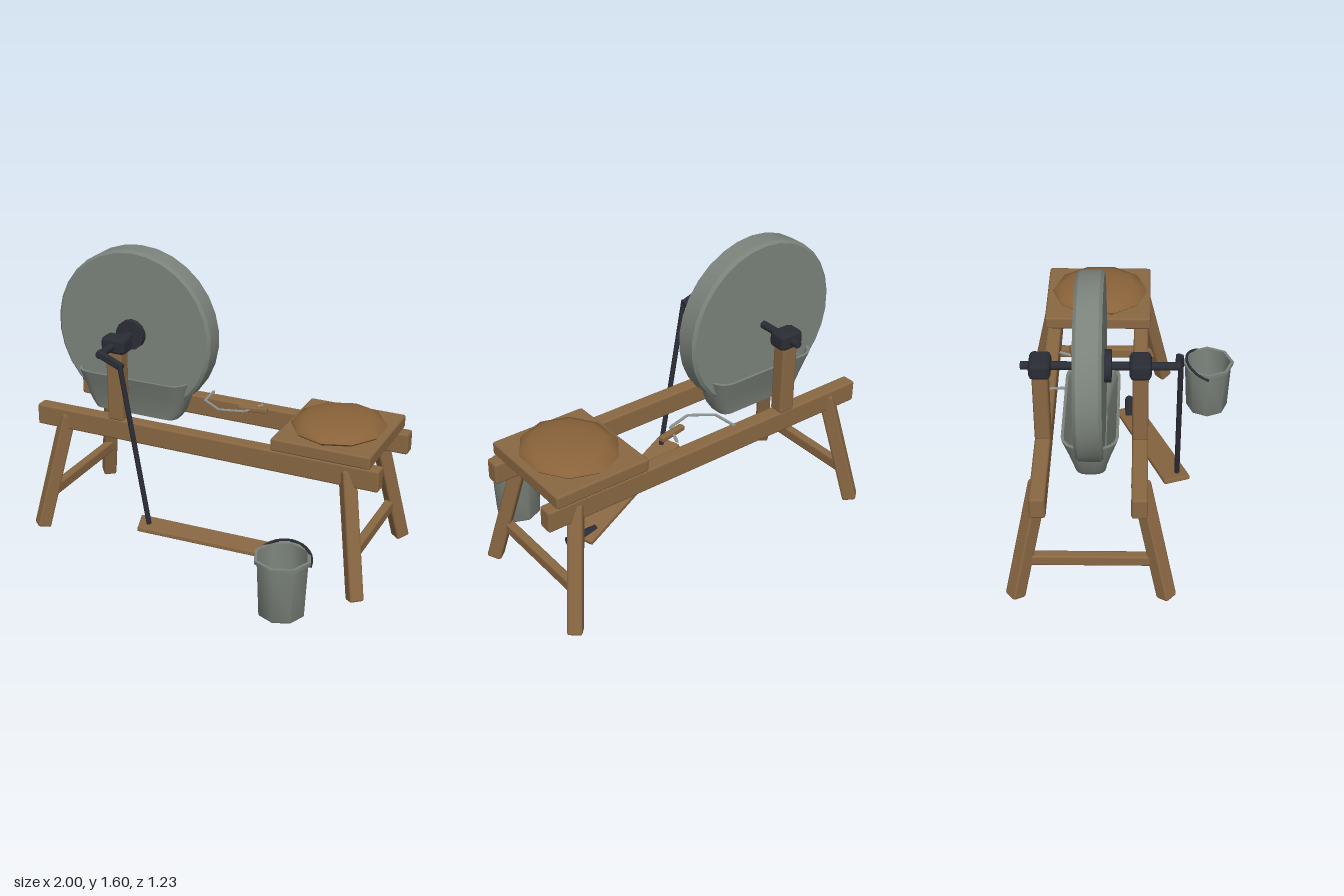
import * as THREE from 'three';
import { toCreasedNormals } from 'three/addons/utils/BufferGeometryUtils.js';
import { RoundedBoxGeometry } from 'three/addons/geometries/RoundedBoxGeometry.js';

const mat = (name, color, side = THREE.FrontSide) => {
  const m = new THREE.MeshStandardMaterial({ color, side });
  m.name = name;
  return m;
};
const V = (x, y, z) => new THREE.Vector3(x, y, z);

export function createModel() {
  const wood = mat('wood', 0x8a6843);
  const leather = mat('leather', 0x8a633a);
  const stone = mat('stone grey', 0x7b827b, THREE.DoubleSide);
  const iron = mat('dark iron', 0x2b2d36);
  const steel = mat('steel wire', 0x8c9391);
  const model = new THREE.Group();

  const add = (name, geometry, material, x = 0, y = 0, z = 0) => {
    const mesh = new THREE.Mesh(geometry, material);
    mesh.name = name;
    mesh.position.set(x, y, z);
    model.add(mesh);
    return mesh;
  };
  // Chamfered block
  const block = (name, w, h, d, x, y, z, material = wood, bevel = 0.012) =>
    add(name, new RoundedBoxGeometry(w, h, d, 1, bevel), material, x, y, z);
  // Chamfered beam between two points; w is its horizontal width, d its other thickness
  const beam = (name, a, b, w, d, material = wood, bevel = 0.012) => {
    const along = b.clone().sub(a);
    const mesh = block(name, w, along.length(), d, 0, 0, 0, material, bevel);
    const yAxis = along.normalize();
    const xAxis = V(0, 1, 0).cross(yAxis).normalize();
    const zAxis = xAxis.clone().cross(yAxis);
    mesh.quaternion.setFromRotationMatrix(new THREE.Matrix4().makeBasis(xAxis, yAxis, zAxis));
    mesh.position.copy(a).add(b).multiplyScalar(0.5);
    return mesh;
  };
  // Round bar between two points
  const bar = (name, a, b, r, material = iron, sides = 10) => {
    const along = b.clone().sub(a);
    const mesh = add(name, new THREE.CylinderGeometry(r, r, along.length(), sides), material);
    mesh.quaternion.setFromUnitVectors(V(0, 1, 0), along.normalize());
    mesh.position.copy(a).add(b).multiplyScalar(0.5);
    return mesh;
  };
  const lathe = (points, sides, crease) => toCreasedNormals(
    new THREE.LatheGeometry(points.map(p => new THREE.Vector2(...p)), sides), crease);

  const midZ = -0.19, wheelX = -0.502, axleY = 1.138;

  // Bench frame: two rails, each with an axle post, a bearing and two splayed legs
  for (const s of [1, -1]) {
    const z = midZ + s * 0.245;
    block('rail', 2, 0.12, 0.08, 0, 0.652, z);
    block('axlePost', 0.095, 0.42, 0.08, wheelX, 0.915, z);
    block('bearing', 0.14, 0.09, 0.108, wheelX, axleY, z, iron, 0.022);
    for (const e of [1, -1]) {
      beam('leg', V(e * 0.942, 0.008, midZ + s * 0.385), V(e * 0.822, 0.675, midZ + s * 0.248), 0.078, 0.078);
    }
  }
  for (const e of [1, -1]) block('legStretcher', 0.05, 0.065, 0.68, e * 0.89, 0.222, midZ);

  // Seat board and domed cushion
  block('seatBoard', 0.54, 0.072, 0.595, 0.685, 0.752, midZ + 0.002);
  const cushion = lathe([[0, 0], [0.93, 0], [1, 0.016], [0.96, 0.032], [0.76, 0.054],
    [0.42, 0.068], [0, 0.071]], 10, 1.2);
  cushion.scale(0.25, 1, 0.272);
  add('cushion', cushion, leather, 0.685, 0.786, midZ + 0.008);

  // Grinding wheel with chamfered edges
  const R = 0.467, c = 0.016, h = 0.068;
  const wheel = lathe([[0, -h], [R - c, -h], [R, -h + c], [R, h - c], [R - c, h], [0, h]], 30, 0.5);
  wheel.rotateX(Math.PI / 2);
  add('grindingWheel', wheel, stone, wheelX, axleY, midZ + 0.002);

  // Open water trough, lofted from rounded rectangles: [y, half length, half width, corner]
  const rings = [[0.664, 0.01, 0.005, 0.004], [0.664, 0.255, 0.076, 0.05], [0.71, 0.287, 0.082, 0.06],
    [0.8, 0.312, 0.108, 0.075], [0.895, 0.338, 0.14, 0.09], [0.895, 0.322, 0.126, 0.08],
    [0.8, 0.298, 0.1, 0.07], [0.69, 0.25, 0.072, 0.05], [0.675, 0.01, 0.005, 0.004]];
  const pos = [], idx = [], per = 20;
  for (const [y, hx, hz, r] of rings) {
    for (let q = 0; q < 4; q++) for (let k = 0; k < 5; k++) {
      const a = (q + k / 4) * Math.PI / 2;
      const sx = q === 0 || q === 3 ? 1 : -1, sz = q < 2 ? 1 : -1;
      pos.push(sx * (hx - r) + r * Math.cos(a), y, sz * (hz - r) + r * Math.sin(a));
    }
  }
  for (let i = 0; i < rings.length - 1; i++) for (let j = 0; j < per; j++) {
    const a = i * per + j, b = i * per + (j + 1) % per;
    idx.push(a, a + per, b, b, a + per, b + per);
  }
  const trough = new THREE.BufferGeometry();
  trough.setAttribute('position', new THREE.Float32BufferAttribute(pos, 3));
  trough.setIndex(idx);
  add('waterTrough', toCreasedNormals(trough, 0.6), stone, wheelX, 0, midZ + 0.003);

  // Axle, hub flange, crank and drive rod
  bar('axle', V(wheelX, axleY, -0.53), V(wheelX, axleY, 0.245), 0.021);
  bar('hubFlange', V(wheelX, axleY, -0.125), V(wheelX, axleY, -0.086), 0.083, iron, 14);
  beam('crankArm', V(-0.515, 1.148, 0.237), V(-0.36, 1.09, 0.245), 0.03, 0.04, iron, 0.008);
  bar('driveRod', V(-0.372, 1.105, 0.256), V(-0.218, 0.215, 0.256), 0.014, iron, 8);

  // Treadle plank sloping down to its pivot pin
  beam('treadle', V(-0.277, 0.207, 0.257), V(0.535, 0.052, -0.022), 0.146, 0.028, wood, 0.007);
  bar('treadlePivot', V(0.43, 0.066, -0.012), V(0.615, 0.066, -0.012), 0.026);

  // Bucket with rim and bail handle
  const bx = 0.64, bz = 0.456;
  add('bucket', lathe([[0, 0.01], [0.118, 0.01], [0.124, 0.018], [0.138, 0.312], [0.152, 0.316],
    [0.152, 0.334], [0.134, 0.334], [0.112, 0.03], [0, 0.03]], 8, 0.9), stone, bx, 0, bz);
  const bail = [];
  for (let i = 0; i <= 8; i++) {
    const a = i / 8 * Math.PI;
    bail.push(V(bx + 0.147 * Math.cos(a), 0.3 + 0.054 * Math.sin(a), bz - 0.13 * Math.sin(a)));
  }
  add('bucketHandle', new THREE.TubeGeometry(new THREE.CatmullRomCurve3(bail), 16, 0.008, 6), iron);

  // Bent wire tool rest with a wooden grip
  const wire = [[-0.163, -0.448], [-0.15, -0.305], [-0.03, -0.222], [0.11, -0.258], [0.167, -0.388]];
  for (let i = 0; i < wire.length - 1; i++) {
    const [a, b] = [wire[i], wire[i + 1]];
    beam('toolRestWire', V(a[0], 0.735, a[1]), V(b[0], 0.735, b[1]), 0.016, 0.008, steel, 0.002);
  }
  beam('toolGrip', V(0.058, 0.736, -0.292), V(0.222, 0.736, -0.322), 0.036, 0.03, wood, 0.008);

  return model;
}
